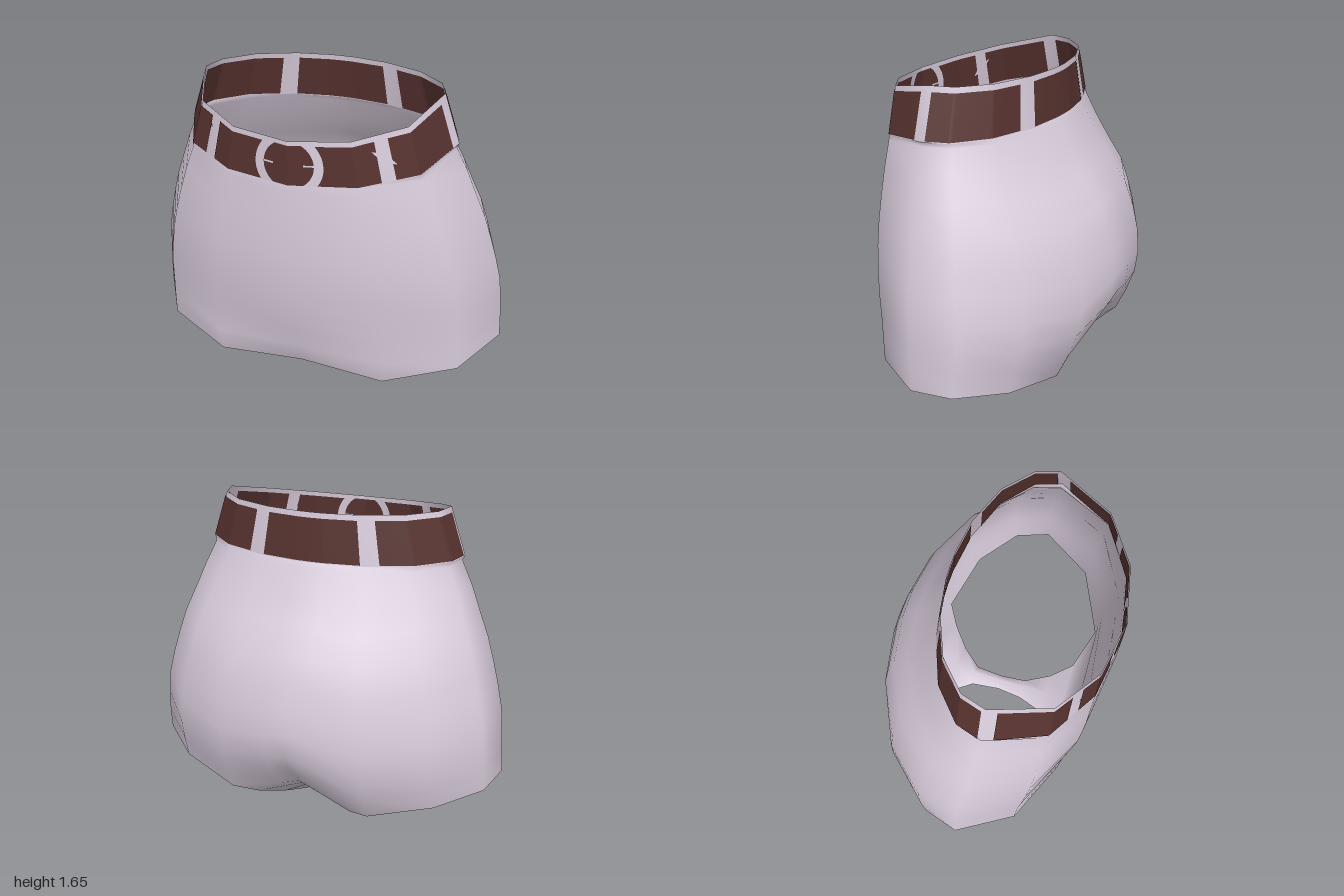
import * as THREE from 'three';

// Columns around the body, counted from front centre towards +x (degrees), then mirrored
const ANGLES = [0, 27, 55, 90, 110, 134, 157, 174, 180];
const COLS = 16;
function angleAt(col) {
  const c = ((col % COLS) + COLS) % COLS;
  return THREE.MathUtils.degToRad(c <= 8 ? ANGLES[c] : 360 - ANGLES[COLS - c]);
}
const frontness = (col) => Math.max(0, Math.cos(angleAt(col)));
const mix = (p, q, t) => p.map((n, i) => n + (q[i] - n) * t);

// Point on a ring made of two half ellipses with different front and back depths
function ringPoint(col, y, [a, zc, zf, zb]) {
  const t = angleAt(col);
  const c = Math.cos(t);
  return [a * Math.sin(t), y, zc + c * (c > 0 ? zf - zc : zc - zb)];
}

// Straight-sided belt surface: u runs around in columns, v from bottom to top
function beltCorner(col, v) {
  const f = frontness(col);
  const low = ringPoint(col, 1.41 - 0.09 * f, [0.695, 0.12, 0.615, -0.265]);
  const high = ringPoint(col, 1.655 - 0.115 * f, [0.61, 0.12, 0.608, -0.235]);
  return mix(low, high, v);
}
function beltPoint(u, v, grow = 0) {
  const c = Math.floor(u);
  const [x, y, z] = mix(beltCorner(c, v), beltCorner(c + 1, v), u - c);
  return [x * (1 + grow), y, 0.17 + (z - 0.17) * (1 + grow)];
}

// Body rings by height: y, [side x, centre z, front z, back z]
const PROFILE = [
  [1.42, [0.685, 0.12, 0.615, -0.265]],
  [1.2, [0.77, 0.10, 0.62, -0.37]],
  [1.0, [0.855, 0.08, 0.625, -0.52]],
  [0.8, [0.92, 0.06, 0.618, -0.592]],
  [0.62, [0.965, 0.04, 0.597, -0.625]],
  [0.45, [0.985, 0.03, 0.572, -0.625]],
  [0.25, [1.0, 0.03, 0.56, -0.555]],
  [0.1, [1.0, 0.03, 0.555, -0.485]],
];
function profileAt(y) {
  let i = 0;
  while (i < PROFILE.length - 2 && y < PROFILE[i + 1][0]) i++;
  const [y0, p] = PROFILE[i], [y1, q] = PROFILE[i + 1];
  return mix(p, q, THREE.MathUtils.clamp((y0 - y) / (y0 - y1), 0, 1));
}

function makeGeometry(points, index) {
  const g = new THREE.BufferGeometry();
  g.setAttribute('position', new THREE.Float32BufferAttribute(points.flat(), 3));
  g.setIndex(index);
  g.computeVertexNormals();
  return g;
}
// Two triangles: top left, bottom left, bottom right, top right
const quad = (index, a, b, c, d) => index.push(a, b, c, a, c, d);

// Shorts: rows from the belt to the leg openings, then a saddle between the legs
function shortsGeometry() {
  const hem = [0.18, 0.165, 0.212, 0.25, 0.235, 0.195, 0.12, 0.21, 0.24];
  // how far each centre column sinks in towards its lower end
  const sink = { 0: -0.08, 7: 0.08, 8: 0.12, 9: 0.08 };
  const points = [], index = [], ROWS = 10;
  for (let r = 0; r <= ROWS; r++) {
    for (let c = 0; c < COLS; c++) {
      if (r === 0) { points.push(beltCorner(c, 0)); continue; }
      const top = 1.385 - 0.09 * frontness(c);
      const y = top + (hem[Math.min(c, COLS - c)] - top) * (r - 1) / (ROWS - 1);
      const p = ringPoint(c, y, profileAt(y));
      if (r === 1) p[0] *= 0.98;
      p[2] += (sink[c] ?? 0) * THREE.MathUtils.clamp((0.55 - y) / 0.33, 0, 1) ** 1.5;
      points.push(p);
    }
  }
  for (let r = 0; r < ROWS; r++) for (let c = 0; c < COLS; c++) {
    const n = (c + 1) % COLS, a = r * COLS, b = a + COLS;
    quad(index, a + c, b + c, b + n, a + n);
  }
  // saddle sections: z, half width, edge height, centre height
  const saddle = [
    [0.42, 0.21, 0.12, 0.13], [0.30, 0.125, 0.05, 0.085], [0.15, 0.06, 0.005, 0.065],
    [0, 0.045, 0.015, 0.06], [-0.17, 0.06, 0.005, 0.075], [-0.28, 0.15, 0.035, 0.12],
    [-0.38, 0.27, 0.07, 0.19],
  ];
  const last = ROWS * COLS;
  let prev = [last + COLS - 1, last, last + 1];
  for (const [z, w, edge, mid] of saddle) {
    const n = points.length;
    points.push([-w, edge, z], [0, mid, z], [w, edge, z]);
    for (let k = 0; k < 2; k++) quad(index, prev[k], n + k, n + k + 1, prev[k + 1]);
    prev = [n, n + 1, n + 2];
  }
  // close the saddle onto the five rear columns
  const [l, m, r] = prev;
  const [a, b, c, d, e] = [10, 9, 8, 7, 6].map((k) => last + k);
  index.push(l, a, b, l, b, m, m, b, c, m, c, d, m, d, r, r, d, e);
  return makeGeometry(points, index);
}

// Patch of the belt between u limits that may vary with height
function beltPatch(u0, u1, v0, v1, grow, nu = 32, nv = 1) {
  const points = [], index = [];
  for (let j = 0; j <= nv; j++) {
    const v = v1 + (v0 - v1) * j / nv;
    const s = u0(v), e = u1(v);
    for (let i = 0; i <= nu; i++) points.push(beltPoint(s + (e - s) * i / nu, v, grow));
  }
  for (let j = 0; j < nv; j++) for (let i = 0; i < nu; i++) {
    const a = j * (nu + 1) + i, b = a + nu + 1;
    quad(index, a, b, b + 1, a + 1);
  }
  return makeGeometry(points, index);
}

export function createModel() {
  const model = new THREE.Group();
  const cloth = new THREE.MeshStandardMaterial({ color: 0xd8ccdb, side: THREE.DoubleSide });
  cloth.name = 'pale lilac cloth';
  const leather = new THREE.MeshStandardMaterial({ color: 0x56322f, side: THREE.DoubleSide });
  leather.name = 'dark brown leather';
  const add = (name, geometry, material) => {
    const mesh = new THREE.Mesh(geometry, material);
    mesh.name = name;
    model.add(mesh);
  };
  const at = (n) => () => n;

  add('shorts', shortsGeometry(), cloth);
  add('beltBand', beltPatch(at(0), at(COLS), 0, 1, 0, COLS), cloth);

  // Buckle outline as a circle around the front centre, in belt columns
  const circle = (r) => (v) => Math.sqrt(Math.max(0, r * r - ((v - 0.46) * 0.22) ** 2)) / 0.295;
  const disc = circle(0.118), ring = circle(0.16);
  const bottom = 0.02, top = 0.89;

  // Leather shows on the outside and the inside of the band
  for (const [face, grow] of [['outer', 0.006], ['inner', -0.006]]) {
    for (const [side, s] of [['Left', 1], ['Right', -1]]) {
      const panel = (name, u0, u1, nv = 1) => {
        const start = (v) => s * u0(v), end = (v) => s * u1(v);
        const [l, r] = s > 0 ? [start, end] : [end, start];
        add(face + name + side, beltPatch(l, r, bottom, top, grow, 48, nv), leather);
      };
      panel('FrontPanel', ring, at(1.38), 14);
      panel('SidePanel', at(1.61), at(2.82));
      panel('RearPanel', at(3.15), at(5.68));
      // small slot at each side of the buckle
      const slot = [s * 0.24, s * 0.4].sort((a, b) => a - b);
      add(face + 'BuckleSlot' + side,
        beltPatch(at(slot[0]), at(slot[1]), 0.44, 0.48, grow * 1.25, 4), cloth);
    }
    add(face + 'BackPanel', beltPatch(at(6.08), at(9.92), bottom, top, grow, 48), leather);
    add(face + 'Buckle', beltPatch((v) => -disc(v), disc, bottom, 0.91, grow, 24, 20), leather);
  }
  return model;
}
